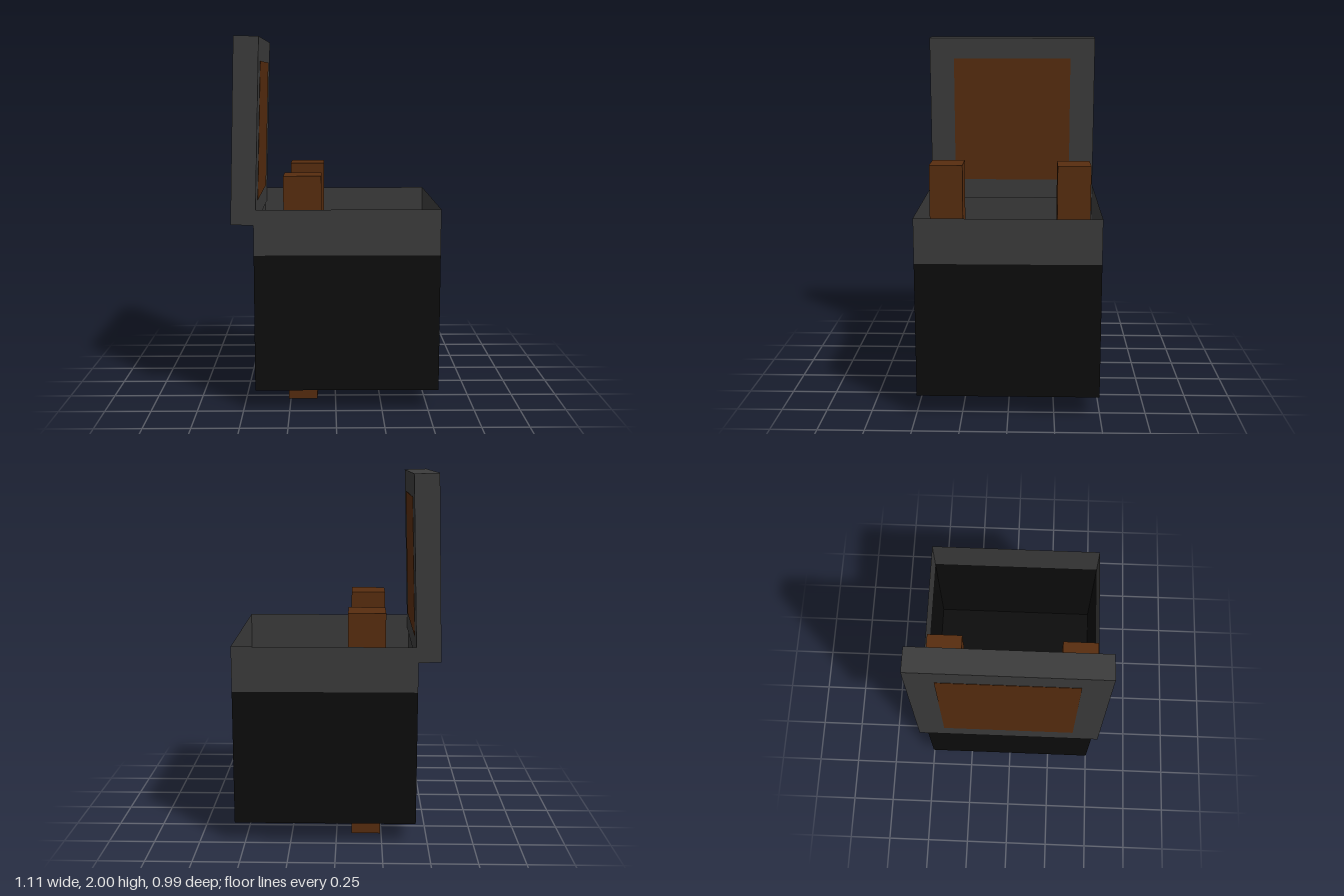
import * as THREE from 'three';

const SIDE = 0.99;      // width and depth of the chest
const CX = 0.06;        // chest centre in x
const FLOOR = 0.115, BAND = 0.855, RIM = 1.1;

function material(name, color) {
  const m = new THREE.MeshStandardMaterial({ color, flatShading: true, side: THREE.DoubleSide });
  m.name = name;
  return m;
}

export function createModel() {
  const black = material('black', 0x0d0d0d);
  const grey = material('darkGrey', 0x3c3c3c);
  const brown = material('brownWood', 0x582d0f);
  const model = new THREE.Group();
  model.name = 'openChest';

  function add(parent, name, geometry, mat, x, y, z) {
    const mesh = new THREE.Mesh(geometry, mat);
    mesh.name = name;
    mesh.position.set(x, y, z);
    parent.add(mesh);
    return mesh;
  }
  const box = (w, h, d) => new THREE.BoxGeometry(w, h, d);

  // Thin square wall, open at top and bottom
  function walls(name, y0, y1, mat) {
    const r = SIDE / Math.SQRT2;
    const g = new THREE.CylinderGeometry(r, r, y1 - y0, 4, 1, true).rotateY(Math.PI / 4);
    add(model, name, g, mat, CX, (y0 + y1) / 2, 0);
  }
  walls('lowerWalls', FLOOR, BAND, black);
  walls('rimBand', BAND, RIM, grey);
  const floor = new THREE.PlaneGeometry(SIDE, SIDE).rotateX(-Math.PI / 2);
  add(model, 'floor', floor, black, CX, FLOOR, 0);

  // Raised lid leaning slightly, with a thin wooden panel on both faces
  const lid = new THREE.Group();
  lid.name = 'lid';
  lid.position.set(-0.475, 1.508, 0);
  lid.rotation.z = -0.03;
  add(lid, 'lidBoard', box(0.13, 0.98, SIDE), grey, 0, 0, 0);
  for (const side of [-1, 1]) {
    add(lid, side < 0 ? 'outerPanel' : 'innerPanel', box(0.004, 0.74, 0.7), brown, side * 0.065, -0.003, 0);
  }
  model.add(lid);

  // Upright wooden slab, a little askew, poking through the floor
  const slab = add(model, 'slab', box(0.16, 0.85, 0.69), brown, -0.173, 0.431, -0.03);
  slab.rotation.set(0.014, -0.025, 0);

  // Square posts at each end of the slab
  const postTop = 1.275, postHeight = postTop - FLOOR - 0.005;
  for (const [name, x, z] of [['frontPost', -0.177, 0.38], ['backPost', -0.163, -0.37]]) {
    add(model, name, box(0.2, postHeight, 0.195), brown, x, postTop - postHeight / 2, z);
  }
  return model;
}
